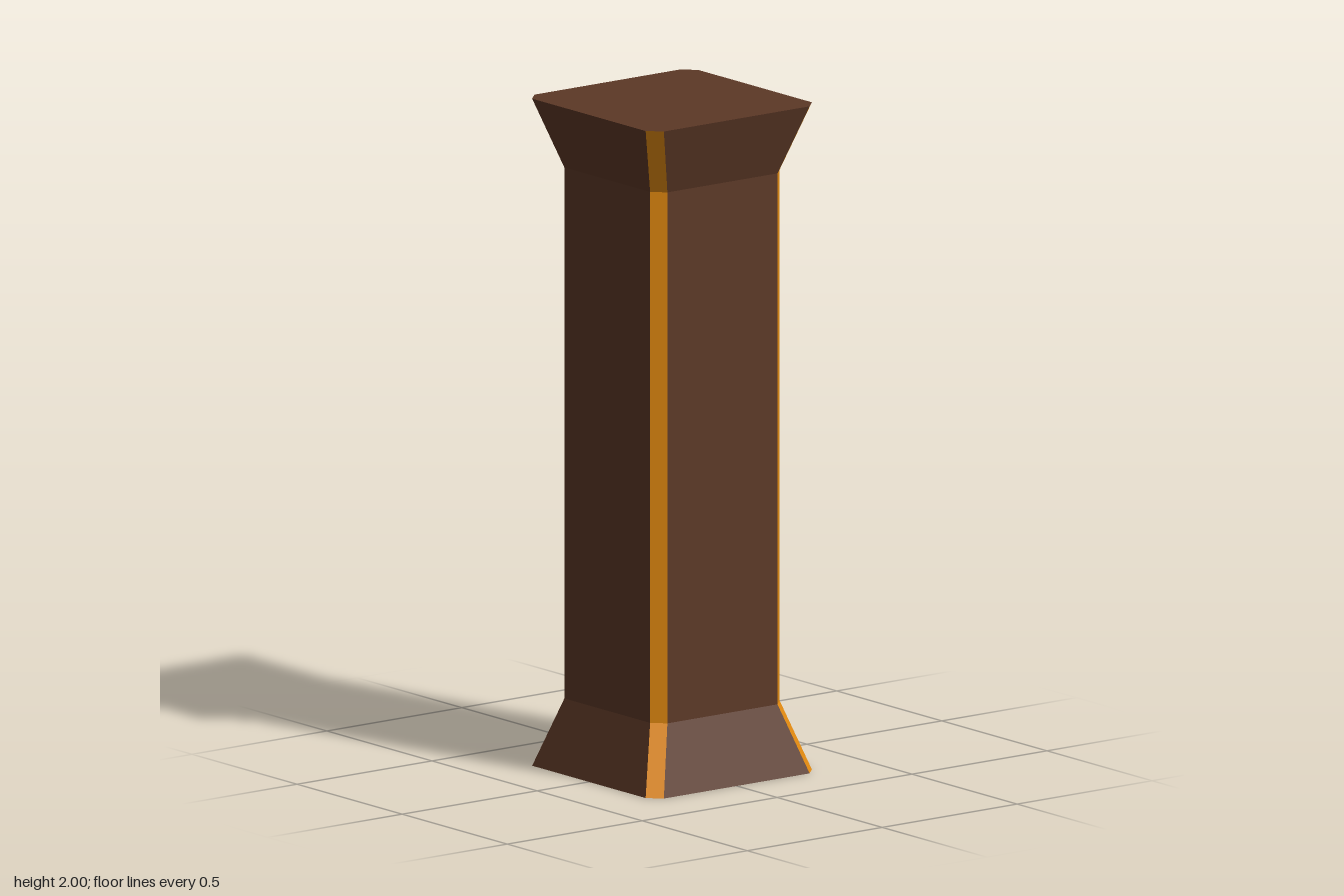
import * as THREE from 'three';

// Cross-sections from bottom to top: height, half width, half width of the flat side
const sections = [
  { y: 0, r: 0.308, f: 0.27 },
  { y: 0.204, r: 0.24, f: 0.204 },
  { y: 1.796, r: 0.24, f: 0.204 },
  { y: 2, r: 0.308, f: 0.27 },
];

// Eight corners of a square with cut corners, counterclockwise from above
function ring({ y, r, f }) {
  return [[-f, r], [f, r], [r, f], [r, -f], [f, -r], [-f, -r], [-r, -f], [-r, f]]
    .map(([x, z]) => new THREE.Vector3(x, y, z));
}

function meshFrom(name, points, material) {
  const geometry = new THREE.BufferGeometry().setFromPoints(points);
  geometry.computeVertexNormals();
  const mesh = new THREE.Mesh(geometry, material);
  mesh.name = name;
  return mesh;
}

// Every second strip between two rings: start 0 = wide sides, 1 = cut corners
function strips(lower, upper, start) {
  const points = [];
  for (let i = start; i < 8; i += 2) {
    const j = (i + 1) % 8;
    points.push(lower[i], lower[j], upper[j], lower[i], upper[j], upper[i]);
  }
  return points;
}

function cap(loop) {
  const points = [];
  for (let i = 1; i < 7; i++) points.push(loop[0], loop[i], loop[i + 1]);
  return points;
}

export function createModel() {
  const brown = new THREE.MeshStandardMaterial({ name: 'dark brown wood', color: 0x5c3826 });
  const amber = new THREE.MeshStandardMaterial({ name: 'amber trim', color: 0xe68c10 });
  const model = new THREE.Group();
  model.name = 'pillar';
  const rings = sections.map(ring);

  // Flared base, straight shaft and flared capital, each with trimmed corners
  ['base', 'shaft', 'capital'].forEach((name, k) => {
    const part = new THREE.Group();
    part.name = name;
    part.add(
      meshFrom(name + 'Sides', strips(rings[k], rings[k + 1], 0), brown),
      meshFrom(name + 'CornerTrim', strips(rings[k], rings[k + 1], 1), amber),
    );
    model.add(part);
  });

  // End faces
  model.add(
    meshFrom('topFace', cap(rings[3]), brown),
    meshFrom('bottomFace', cap([...rings[0]].reverse()), brown),
  );
  return model;
}
